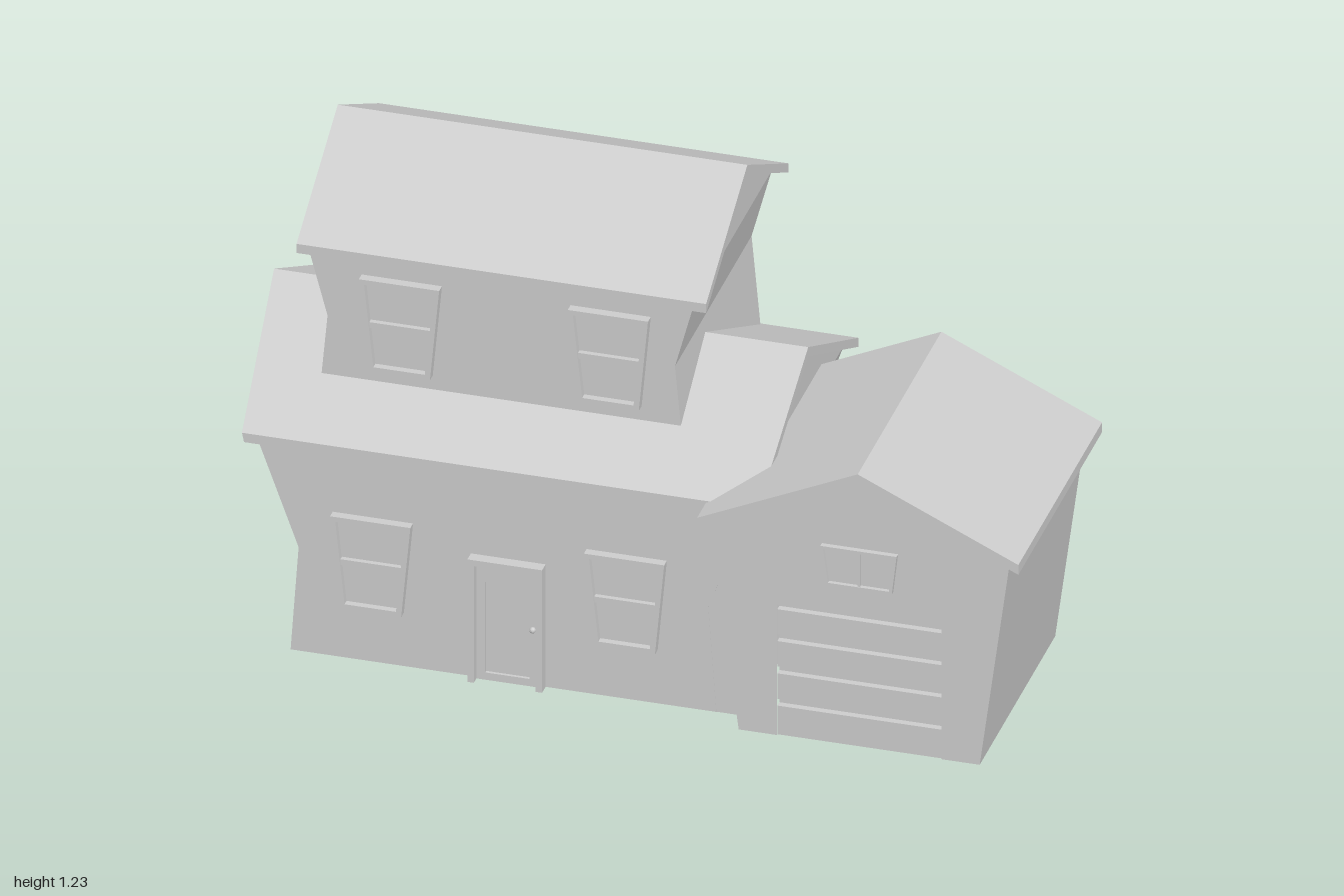
import * as THREE from 'three';

const grey = new THREE.MeshStandardMaterial({ color: 0xcccccc, flatShading: true, side: THREE.DoubleSide });

function add(parent, name, geometry) {
  const mesh = new THREE.Mesh(geometry, grey);
  mesh.name = name;
  parent.add(mesh);
  return mesh;
}

// Flat faces, each a list of corners anticlockwise from outside
function faces(list) {
  const pos = [];
  for (const f of list)
    for (let i = 1; i < f.length - 1; i++) pos.push(...f[0], ...f[i], ...f[i + 1]);
  const g = new THREE.BufferGeometry();
  g.setAttribute('position', new THREE.Float32BufferAttribute(pos, 3));
  g.computeVertexNormals();
  return g;
}

const polygon = (pts) => new THREE.Shape(pts.map(([x, y]) => new THREE.Vector2(x, y)));

// Pinched walls: rows of [y, left x, right x], closed by a gable peak [y, left x, right x]
function pinchedWalls(rows, peak, front, back) {
  const list = [];
  for (let i = 0; i < rows.length - 1; i++) {
    const [y, a, b] = rows[i], [Y, A, B] = rows[i + 1];
    list.push([[a, y, front], [b, y, front], [B, Y, front], [A, Y, front]]);
    list.push([[b, y, back], [a, y, back], [A, Y, back], [B, Y, back]]);
    list.push([[b, y, front], [b, y, back], [B, Y, back], [B, Y, front]]);
    list.push([[a, y, back], [a, y, front], [A, Y, front], [A, Y, back]]);
  }
  const [y, a, b] = rows[rows.length - 1], [py, pa, pb] = peak, mid = (front + back) / 2;
  list.push([[b, y, front], [b, y, back], [pb, py, mid]]);
  list.push([[a, y, back], [a, y, front], [pa, py, mid]]);
  return faces(list);
}

// Folded roof slab with its ridge along z, from z = 0 to length
function roofSlab(half, eave, ridge, thick, length) {
  return new THREE.ExtrudeGeometry(polygon([
    [-half, eave - thick], [0, ridge - thick], [half, eave - thick],
    [half, eave], [0, ridge], [-half, eave],
  ]), { depth: length, bevelEnabled: false });
}

// Frame around a tapered opening, with thin panes behind it
function trapezoid(top, bottom, y0, y1) {
  return [[-bottom, y0], [bottom, y0], [top, y1], [-top, y1]];
}

function addWindow(parent, name, x, y, z, depth, top, bottom, height, border, sideBySide) {
  const group = new THREE.Group();
  group.name = name;
  group.position.set(x, y, z);
  const frame = polygon(trapezoid(top, bottom, 0, height));
  frame.holes.push(polygon(trapezoid(top - border, bottom - border, border, height - border)));
  add(group, 'windowFrame', new THREE.ExtrudeGeometry(frame, { depth, bevelEnabled: false }));
  const pane = polygon(trapezoid(top - border, bottom - border, border, height - border));
  add(group, 'windowPane', new THREE.ShapeGeometry(pane)).position.z = depth * 0.25;
  const bar = sideBySide
    ? new THREE.BoxGeometry(0.006, height - border, depth * 0.8)
    : new THREE.BoxGeometry(top + bottom - border * 2, 0.016, depth * 0.8);
  add(group, 'windowBar', bar).position.set(0, height / 2, depth * 0.4);
  parent.add(group);
}

export function createModel() {
  const house = new THREE.Group();
  house.name = 'house';

  // Ground floor
  const mainFront = 0.37;
  add(house, 'groundFloorWalls', pinchedWalls(
    [[0, -0.84, 0.22], [0.285, -0.82, 0.2], [0.575, -0.925, 0.3]],
    [0.785, -0.955, 0.305], mainFront, -0.44));
  add(house, 'frontWallInfill', faces([[[0.19, 0, mainFront - 0.001], [0.31, 0, mainFront - 0.001],
    [0.31, 0.58, mainFront - 0.001], [0.19, 0.58, mainFront - 0.001]]]));

  // Ground floor roof, its left end leaning out towards the ridge
  const mainRoof = roofSlab(0.425, 0.59, 0.8, 0.025, 1.28);
  mainRoof.rotateY(Math.PI / 2).translate(-0.95, 0, -0.035);
  const p = mainRoof.attributes.position;
  for (let i = 0; i < p.count; i++)
    if (p.getX(i) < -0.9) p.setX(i, -0.95 - 0.05 * (p.getY(i) - 0.565) / 0.235);
  mainRoof.computeVertexNormals();
  add(house, 'groundFloorRoof', mainRoof);

  // Upper floor
  add(house, 'upperFloorWalls', pinchedWalls(
    [[0.6, -0.817, 0.092], [0.84, -0.795, 0.07], [1.028, -0.845, 0.12]],
    [1.215, -0.845, 0.12], 0.21, -0.44));
  add(house, 'upperFloorRoof', roofSlab(0.35, 1.04, 1.23, 0.025, 1.02)
    .rotateY(Math.PI / 2).translate(-0.865, 0, -0.115));

  // House windows
  for (const x of [-0.635, -0.003])
    addWindow(house, 'groundFloorWindow', x, 0.147, mainFront, 0.023, 0.1, 0.077, 0.25, 0.013);
  for (const x of [-0.61, -0.09])
    addWindow(house, 'upperFloorWindow', x, 0.717, 0.21, 0.024, 0.1, 0.077, 0.25, 0.013);

  // Front door
  const door = new THREE.Group();
  door.name = 'frontDoor';
  door.position.set(-0.298, 0, mainFront);
  add(door, 'doorFrame', new THREE.ExtrudeGeometry(polygon([
    [-0.093, 0], [-0.077, 0], [-0.077, 0.322], [0.077, 0.322],
    [0.077, 0], [0.093, 0], [0.093, 0.338], [-0.093, 0.338],
  ]), { depth: 0.03, bevelEnabled: false }));
  const leaf = polygon([[-0.077, 0], [0.077, 0], [0.077, 0.322], [-0.077, 0.322]]);
  leaf.holes.push(polygon([[-0.055, 0.02], [0.055, 0.02], [0.055, 0.27], [-0.055, 0.27]]));
  add(door, 'doorLeaf', new THREE.ExtrudeGeometry(leaf, { depth: 0.008, bevelEnabled: false }));
  add(door, 'doorKnob', new THREE.SphereGeometry(0.008, 10, 8)).position.set(0.065, 0.16, 0.015);
  house.add(door);

  // Garage walls, leaning outwards, with an opening for the door
  const gFront = 0.435, gBack = -0.205;
  const outline = [[0.895, 0], [0.97, 0.57], [0.595, 0.75], [0.22, 0.57], [0.295, 0]];
  const frontWall = polygon([...outline, [0.39, 0], [0.39, 0.36], [0.8, 0.36], [0.8, 0]]);
  add(house, 'garageFrontWall', new THREE.ShapeGeometry(frontWall)).position.z = gFront;
  add(house, 'garageSideAndBackWalls', faces([
    [...outline].reverse().map(([x, y]) => [x, y, gBack]),
    [[0.895, 0, gFront], [0.895, 0, gBack], [0.97, 0.57, gBack], [0.97, 0.57, gFront]],
    [[0.295, 0, gBack], [0.295, 0, gFront], [0.22, 0.57, gFront], [0.22, 0.57, gBack]],
  ]));
  add(house, 'garageRoof', roofSlab(0.4, 0.585, 0.77, 0.027, 0.71).translate(0.6, 0, -0.245));

  // Garage door: panels separated by deep grooves
  const garageDoor = new THREE.Group();
  garageDoor.name = 'garageDoor';
  add(garageDoor, 'doorBacking', new THREE.BoxGeometry(0.41, 0.36, 0.004)).position.set(0.595, 0.18, 0.412);
  const sections = [[0, 0.079], [0.098, 0.168], [0.187, 0.257], [0.276, 0.345]];
  for (const [y0, y1] of sections)
    add(garageDoor, 'doorPanel', new THREE.BoxGeometry(0.41, y1 - y0, 0.02))
      .position.set(0.595, (y0 + y1) / 2, 0.421);
  house.add(garageDoor);

  // Garage window
  addWindow(house, 'garageWindow', 0.597, 0.442, gFront, 0.014, 0.095, 0.083, 0.106, 0.007, true);
  return house;
}
